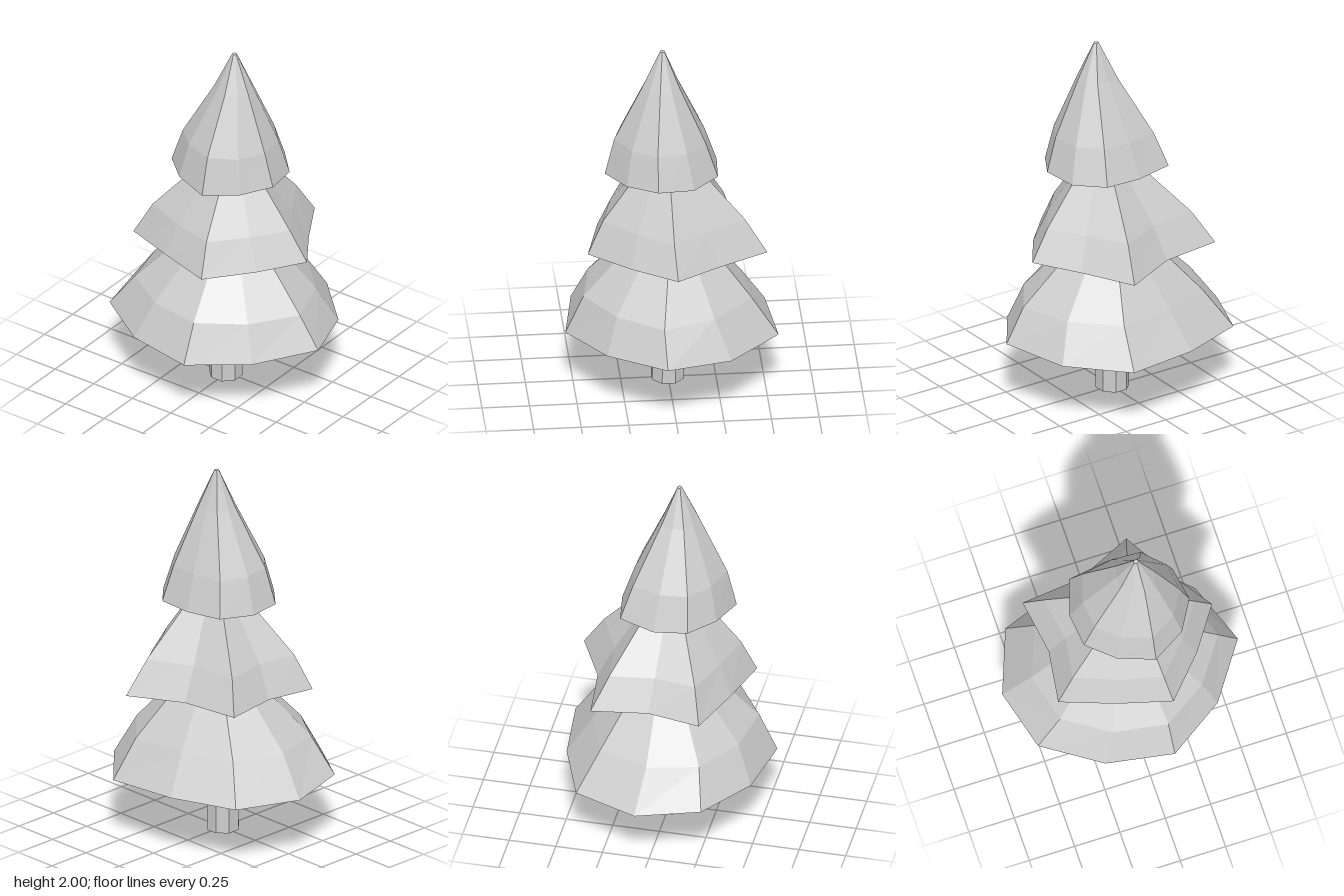
import * as THREE from 'three';

const SIDES = 10;

// Lofts one irregular rim through rings of [scale, y, centreX, centreZ],
// listed from the underside centre up to the tip; scale 1 is the rim itself.
function makeTier(name, rim, rings, material) {
  const points = rings.map(([s, y, cx, cz]) =>
    rim.map(([x, z, ry]) => [cx + x * s, s === 1 ? ry : y, cz + z * s]));
  const positions = [];
  for (let r = 0; r < rings.length - 1; r++) {
    for (let i = 0; i < SIDES; i++) {
      const j = (i + 1) % SIDES;
      const [a, b] = [points[r][i], points[r][j]];
      const [c, d] = [points[r + 1][i], points[r + 1][j]];
      if (rings[r][0] > 0) positions.push(...a, ...c, ...b);
      if (rings[r + 1][0] > 0) positions.push(...b, ...c, ...d);
    }
  }
  const geometry = new THREE.BufferGeometry();
  geometry.setAttribute('position', new THREE.Float32BufferAttribute(positions, 3));
  geometry.computeVertexNormals();
  const mesh = new THREE.Mesh(geometry, material);
  mesh.name = name;
  return mesh;
}

export function createModel() {
  const tree = new THREE.Group();
  tree.name = 'tree';
  const grey = new THREE.MeshStandardMaterial({ color: 0xcccccc, flatShading: true });
  grey.name = 'light grey';

  // Trunk: eight-sided post with a slight lean
  const trunkGeometry = new THREE.CylinderGeometry(0.085, 0.09, 0.42, 8);
  trunkGeometry.rotateY(Math.PI / 8);
  trunkGeometry.translate(-0.005, 0.21, 0.003);
  const trunk = new THREE.Mesh(trunkGeometry, grey);
  trunk.name = 'trunk';
  tree.add(trunk);

  // Branch tiers: rim corners are [x, z, y]
  const lowerRim = [
    [0.24, -0.56, 0.36], [0.51, -0.29, 0.365], [0.63, 0.055, 0.39], [0.42, 0.355, 0.375],
    [0.12, 0.55, 0.36], [-0.245, 0.49, 0.37], [-0.55, 0.29, 0.38], [-0.635, -0.05, 0.36],
    [-0.505, -0.39, 0.365], [-0.15, -0.52, 0.365],
  ];
  tree.add(makeTier('lowerBranches', lowerRim, [
    [0, 0.33, 0, 0], [0.5, 0.32, 0, 0], [1, 0, 0, 0],
    [0.79, 0.57, 0.02, 0.02], [0.43, 0.8, 0.02, 0], [0.2, 0.95, 0.03, 0], [0, 0.96, 0.03, 0],
  ], grey));

  const middleRim = [
    [0.2, -0.505, 0.835], [0.355, -0.24, 0.845], [0.51, -0.01, 0.855], [0.35, 0.22, 0.85],
    [0.15, 0.435, 0.84], [-0.14, 0.36, 0.855], [-0.425, 0.25, 0.84], [-0.385, -0.03, 0.85],
    [-0.43, -0.33, 0.85], [-0.1, -0.365, 0.845],
  ];
  tree.add(makeTier('middleBranches', middleRim, [
    [0, 0.82, 0.03, 0], [0.55, 0.805, 0.02, 0], [1, 0, 0, 0],
    [0.79, 1.02, 0.005, 0.01], [0.4, 1.25, 0.03, 0.01], [0.17, 1.39, 0.05, 0.02], [0, 1.4, 0.05, 0.02],
  ], grey));

  const upperRim = [
    [0.195, -0.245, 1.3], [0.325, -0.11, 1.295], [0.355, 0.08, 1.305], [0.26, 0.24, 1.3],
    [0.085, 0.34, 1.285], [-0.11, 0.275, 1.3], [-0.25, 0.15, 1.3], [-0.27, -0.03, 1.295],
    [-0.21, -0.22, 1.31], [0, -0.255, 1.3],
  ];
  tree.add(makeTier('upperBranches', upperRim, [
    [0, 1.255, 0.05, 0.02], [0.6, 1.25, 0.02, 0.02], [1, 0, 0, 0],
    [0.81, 1.49, 0.015, 0.015], [0.33, 1.8, 0.06, 0.03], [0.04, 2, 0.073, 0.035], [0, 2, 0.073, 0.035],
  ], grey));

  return tree;
}
